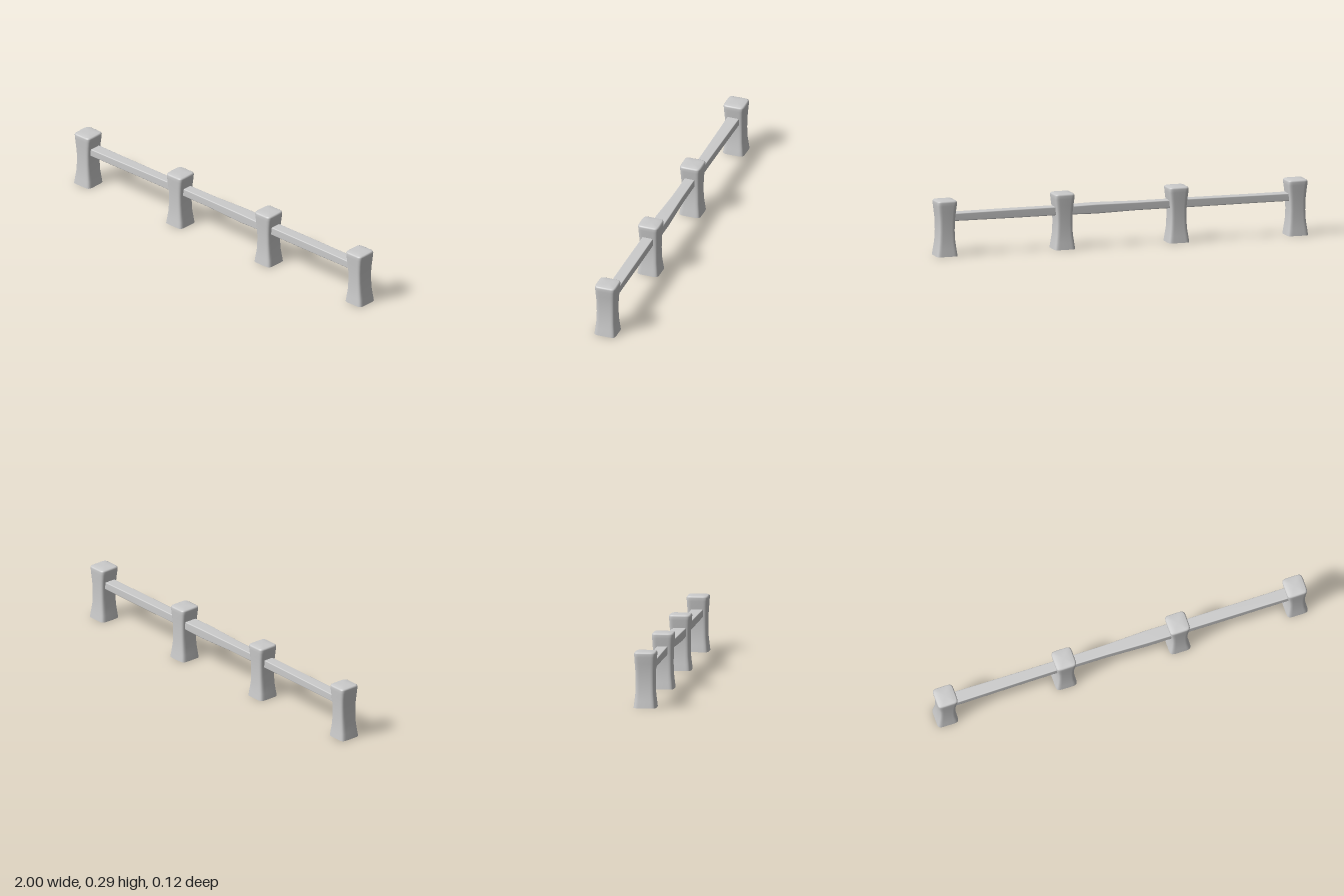
import * as THREE from 'three';

const material = new THREE.MeshStandardMaterial({ color: 0xcccccc, side: THREE.DoubleSide });

// Skins rounded-square rings stacked along y; each ring is [y, halfX, halfZ].
function loft(rings, power, segments = 40) {
  const positions = [], index = [];
  const round = (v) => Math.sign(v) * Math.abs(v) ** (2 / power);
  for (const [y, a, b] of rings) {
    for (let j = 0; j < segments; j++) {
      const t = (j / segments) * Math.PI * 2;
      positions.push(a * round(Math.cos(t)), y, b * round(Math.sin(t)));
    }
  }
  for (let i = 0; i < rings.length - 1; i++) {
    for (let j = 0; j < segments; j++) {
      const k = (j + 1) % segments;
      const p = i * segments + j, q = i * segments + k;
      index.push(p, p + segments, q, q, p + segments, q + segments);
    }
  }
  const geometry = new THREE.BufferGeometry();
  geometry.setAttribute('position', new THREE.Float32BufferAttribute(positions, 3));
  geometry.setIndex(index);
  geometry.computeVertexNormals();
  return geometry;
}

export function createModel() {
  const group = new THREE.Group();
  const postX = [-0.942, -0.303, 0.31, 0.942];

  // Waisted posts, open underneath, with softly pillowed tops
  const postGeometry = loft([
    [0, 0.057, 0.058], [0.035, 0.052, 0.054], [0.075, 0.046, 0.05],
    [0.13, 0.043, 0.049], [0.185, 0.044, 0.05], [0.23, 0.049, 0.053],
    [0.262, 0.053, 0.055], [0.279, 0.054, 0.056], [0.285, 0.052, 0.054],
    [0.288, 0.047, 0.049], [0.29, 0.025, 0.026], [0.29, 0, 0],
  ], 6);
  postX.forEach((x, i) => {
    const post = new THREE.Mesh(postGeometry, material);
    post.name = `post${i + 1}`;
    post.position.x = x;
    group.add(post);
  });

  // Slightly uneven rails: [fraction of span, half height, half depth]
  const railProfiles = [
    [[0, 0.02, 0.032], [0.3, 0.02, 0.03], [0.65, 0.021, 0.028], [1, 0.022, 0.027]],
    [[0, 0.021, 0.027], [0.35, 0.021, 0.028], [0.75, 0.025, 0.035], [1, 0.022, 0.035]],
    [[0, 0.022, 0.029], [0.4, 0.022, 0.03], [0.75, 0.021, 0.03], [1, 0.02, 0.031]],
  ];
  railProfiles.forEach((profile, i) => {
    const start = postX[i] + 0.036, end = postX[i + 1] - 0.036;
    const rings = profile.map(([f, h, d]) => [start + f * (end - start), h, d]);
    const rail = new THREE.Mesh(loft(rings, 12), material);
    rail.name = `rail${i + 1}`;
    rail.rotation.z = -Math.PI / 2;
    rail.position.y = 0.199;
    group.add(rail);
  });

  return group;
}
